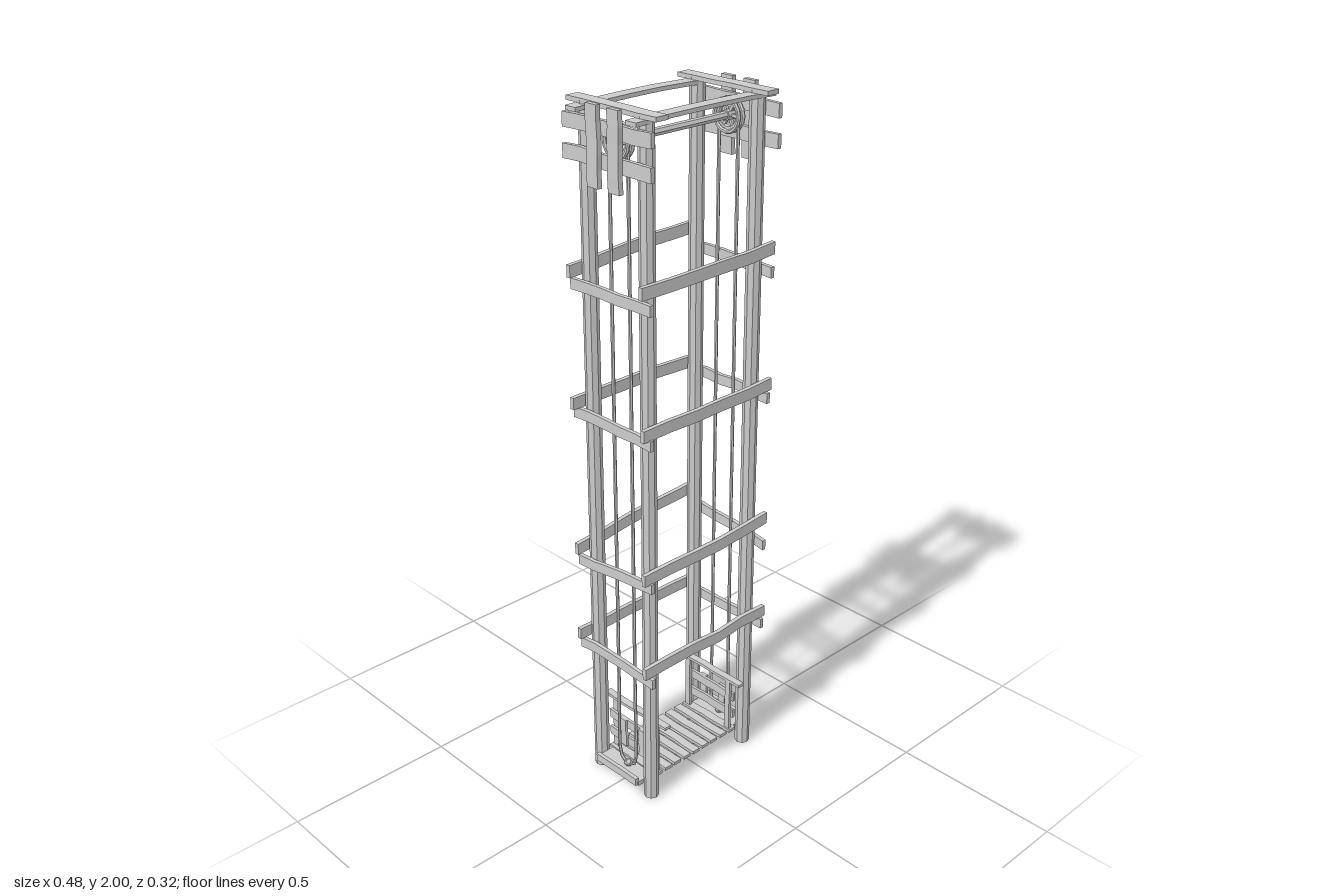
import * as THREE from 'three';

const material = new THREE.MeshStandardMaterial({ color: 0xcccccc, flatShading: true });

let seed = 7;
const rand = () => {
  seed = (seed * 16807) % 2147483647;
  return (seed / 2147483647) * 2 - 1;
};

export function createModel() {
  const model = new THREE.Group();

  const add = (name, geometry, x = 0, y = 0, z = 0, parent = model) => {
    const mesh = new THREE.Mesh(geometry, material);
    mesh.name = name;
    mesh.position.set(x, y, z);
    parent.add(mesh);
    return mesh;
  };

  // Hand-cut plank: a box with its long axis cut in segments, each cut slightly shifted
  const plank = (name, size, pos, { axis = 'x', rise = 0, wobble = 0.003, bow = 0, bowAxis = 'y' } = {}, parent = model) => {
    const k = 'xyz'.indexOf(axis);
    const n = 5;
    const segs = [1, 1, 1];
    segs[k] = n;
    const g = new THREE.BoxGeometry(...size, ...segs);
    const p = g.attributes.position;
    const shifts = Array.from({ length: n + 1 }, () => [rand() * wobble, rand() * wobble, rand() * wobble]);
    for (let i = 0; i < p.count; i++) {
      const v = [p.getX(i), p.getY(i), p.getZ(i)];
      const t = v[k] / size[k];
      const s = shifts[Math.round((t + 0.5) * n)];
      const out = v.map((c, j) => (j === k ? c : c + s[j] * Math.min(1, size[j] / 0.03)));
      out[1] += axis === 'y' ? 0 : rise * t;
      out['xyz'.indexOf(bowAxis)] += bow * (1 - 4 * t * t);
      p.setXYZ(i, ...out);
    }
    g.computeVertexNormals();
    return add(name, g, ...pos, parent);
  };

  // Corner posts
  for (const x of [-0.19, 0.19]) for (const z of [-0.107, 0.107]) {
    add('cornerPost', new THREE.CylinderGeometry(0.021, 0.022, 1.985, 8, 4), x, 0.9925, z);
  }

  // Braces nailed across the front and back: height, front rise, back rise
  for (const [y, front, back] of [[1.565, 0.012, 0.025], [1.182, 0.005, -0.006], [0.76, 0.012, 0.035], [0.458, 0.006, -0.006]]) {
    plank('frontBrace', [0.475, 0.034, 0.013], [-0.003, y, 0.136], { rise: front, bow: 0.004, bowAxis: 'z' });
    plank('backBrace', [0.475, 0.034, 0.013], [-0.003, y, -0.136], { rise: back, bow: -0.004, bowAxis: 'z' });
  }

  // Braces across both sides
  for (const [y, rise] of [[1.512, -0.004], [1.15, 0.004], [0.708, -0.03], [0.42, 0.005]]) {
    for (const s of [-1, 1]) {
      plank('sideBrace', [0.012, 0.03, 0.3], [s * 0.217, y, 0], { axis: 'z', rise: -rise * s * -1, bow: 0.003 });
    }
  }

  // Flat planks capping the frame
  for (const s of [-1, 1]) {
    plank('topBeam', [0.475, 0.011, 0.038], [-0.003, 1.972, s * 0.109], { bow: 0.005, wobble: 0.002 });
    plank('topEndBeam', [0.04, 0.012, 0.32], [s * 0.19, 1.986, 0], { axis: 'z', wobble: 0.002 });
  }

  // Crossed planks that carry the axle at the top of each side
  for (const s of [-1, 1]) {
    for (const y of [1.937, 1.858]) {
      plank('axleSupport', [0.012, 0.038, 0.32], [s * 0.219, y, 0], { axis: 'z', wobble: 0.002 });
    }
    for (const z of [-0.035, 0.043]) {
      plank('axleUpright', [0.014, 0.205, 0.04], [s * 0.232, 1.893, z], { axis: 'y', wobble: 0.002 });
    }
  }

  // Axle
  const axle = new THREE.CylinderGeometry(0.011, 0.011, 0.45, 7, 5);
  axle.rotateZ(Math.PI / 2);
  add('axle', axle, 0.008, 1.906, 0.008);

  // Pulley wheels with spokes, and the rope loops hanging from them
  const wheelX = 0.19, wheelY = 1.906, wheelZ = 0.008, ropeOffset = 0.034;
  for (const s of [-1, 1]) {
    const wheel = new THREE.Group();
    wheel.name = 'pulleyWheel';
    wheel.position.set(s * wheelX, wheelY, wheelZ);
    wheel.rotation.y = Math.PI / 2;
    model.add(wheel);
    for (const side of [-1, 1]) {
      add('rim', new THREE.TorusGeometry(0.043, 0.006, 6, 16), 0, 0, side * 0.008, wheel);
    }
    add('groove', new THREE.TorusGeometry(0.034, 0.007, 6, 16), 0, 0, 0, wheel);
    for (let i = 0; i < 3; i++) {
      add('spoke', new THREE.BoxGeometry(0.072, 0.008, 0.008), 0, 0, 0, wheel).rotation.z = (i * Math.PI) / 3;
    }
    const hub = new THREE.CylinderGeometry(0.015, 0.015, 0.026, 8);
    hub.rotateX(Math.PI / 2);
    add('hub', hub, 0, 0, 0, wheel);

    const path = new THREE.CurvePath();
    const points = [[0, 0.052], [1, 0.085], [1, wheelY]].map(([k, y]) => [k * ropeOffset, y]);
    const at = (d, y) => new THREE.Vector3(s * wheelX, y, wheelZ + d);
    const [knot, bend, top] = points;
    path.add(new THREE.LineCurve3(at(-top[0], top[1]), at(-bend[0], bend[1])));
    path.add(new THREE.QuadraticBezierCurve3(at(-bend[0], bend[1]), at(-0.028, 0.06), at(...knot)));
    path.add(new THREE.QuadraticBezierCurve3(at(...knot), at(0.028, 0.06), at(...bend)));
    path.add(new THREE.LineCurve3(at(...bend), at(...top)));
    // Sample each leg so the short bends stay round
    const samples = path.curves.flatMap((c, i) => c.getPoints(i % 3 ? 4 : 8).slice(i ? 1 : 0));
    const rope = new THREE.CatmullRomCurve3(samples, false, 'centripetal');
    add('rope', new THREE.TubeGeometry(rope, 110, 0.005, 6), 0, 0, 0);
    add('ropeKnot', new THREE.IcosahedronGeometry(0.013, 0), s * wheelX, 0.058, wheelZ);
  }

  // Lift platform: floor slats over two bearers, with a wide tread at each end
  const platform = new THREE.Group();
  platform.name = 'platform';
  model.add(platform);
  for (let i = 0; i < 9; i++) {
    plank('floorSlat', [0.027, 0.01, 0.2], [(i - 4) * 0.038, 0.049, 0], { axis: 'z', wobble: 0.002 }, platform);
  }
  for (const z of [-0.052, 0.045]) {
    plank('floorBearer', [0.42, 0.01, 0.026], [0, 0.038, z], { wobble: 0.002 }, platform);
  }
  for (const s of [-1, 1]) {
    plank('endTread', [0.06, 0.014, 0.175], [s * 0.195, 0.043, 0], { axis: 'z', wobble: 0.002 }, platform);
    plank('endCleat', [0.012, 0.034, 0.17], [s * 0.226, 0.05, 0], { axis: 'z', wobble: 0.002 }, platform).scale.y = 0.7;
  }

  // Railing at each end of the platform
  for (const s of [-1, 1]) {
    const railing = new THREE.Group();
    railing.name = 'railing';
    platform.add(railing);
    for (const z of [-0.085, 0.085]) {
      plank('railPost', [0.01, 0.185, 0.018], [s * 0.149, 0.138, z], { axis: 'y', wobble: 0.002 }, railing);
    }
    plank('handrail', [0.022, 0.009, 0.255], [s * 0.152, 0.229, 0.008], { axis: 'z', wobble: 0.002 }, railing);
    for (const y of [0.105, 0.165]) {
      plank('railBoard', [0.009, 0.028, 0.2], [s * 0.158, y, 0], { axis: 'z', wobble: 0.002 }, railing);
    }
    for (const z of [-0.035, 0.045]) {
      plank('railSlat', [0.009, 0.09, 0.026], [s * 0.166, 0.135, z], { axis: 'y', wobble: 0.002 }, railing);
    }
  }
  return model;
}
